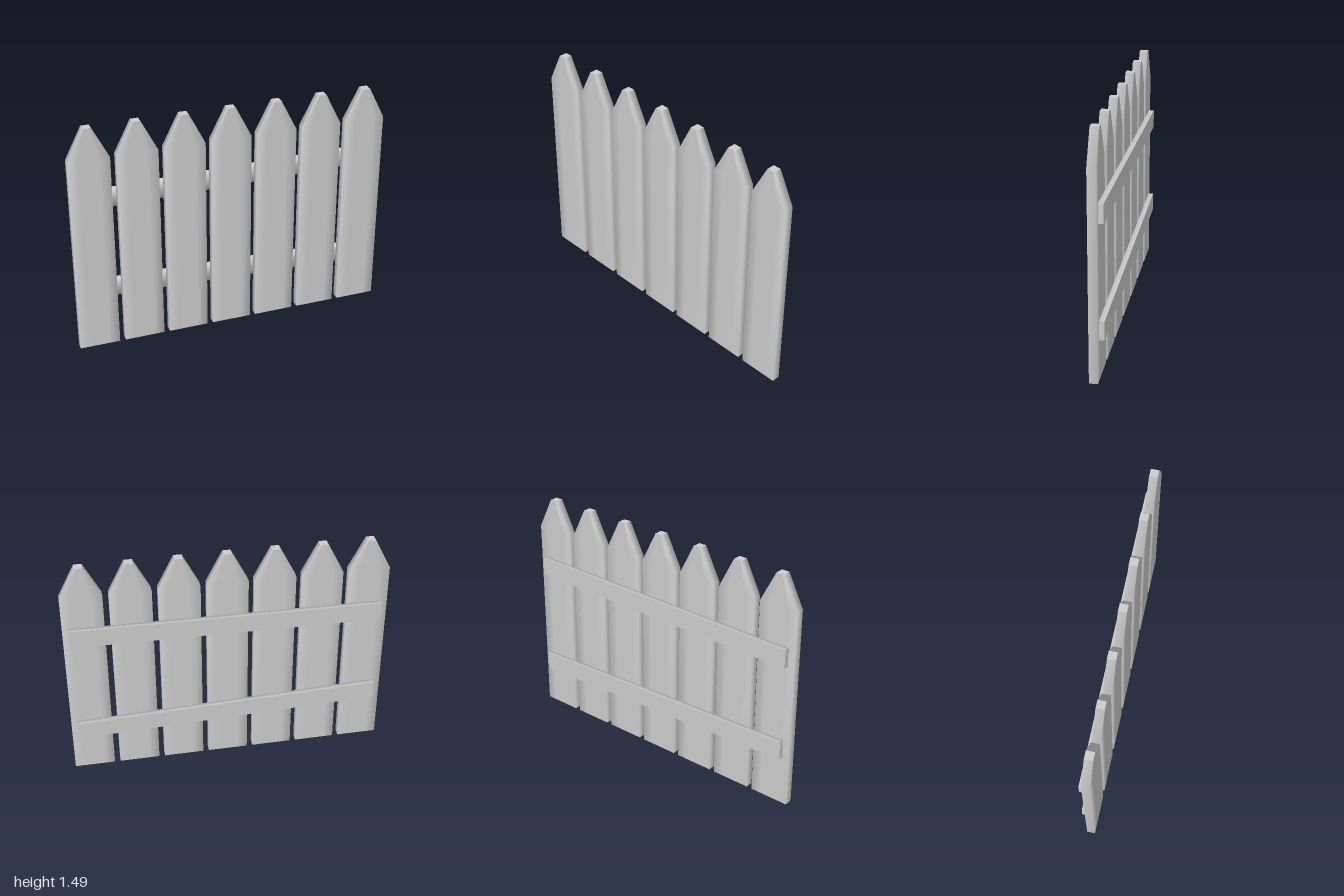
import * as THREE from 'three';

const material = new THREE.MeshStandardMaterial({ color: 0xcccccc });

const WIDTH = 0.254, HEIGHT = 1.485, SHOULDER = 1.285, TIP = 0.025;
const BACK = -0.01, FRONT = 0.042;

// Board with a tapered top; normals blend around its long edges
function picketGeometry() {
  const half = WIDTH / 2;
  const geo = new THREE.BoxGeometry(2, 2, 2, 3, 2, 1);
  const pos = geo.attributes.position, nor = geo.attributes.normal;
  const slope = new THREE.Vector2(HEIGHT - SHOULDER, half - TIP).normalize();
  for (let i = 0; i < pos.count; i++) {
    const column = pos.getX(i), row = Math.round(pos.getY(i)), side = Math.sign(pos.getZ(i));
    const edge = Math.abs(column) > 0.9;
    const reach = Math.sign(column) * (edge ? 1 : 0.5);
    pos.setXYZ(
      i,
      reach * (row === 1 ? TIP : half),
      row === -1 ? 0 : row === 0 ? SHOULDER : HEIGHT,
      side > 0 ? FRONT : BACK
    );
    // the end grain at the foot and tip stays flat
    if (Math.abs(nor.getY(i)) > 0.5) continue;
    const n = new THREE.Vector3(0, 0, side);
    if (edge) {
      const lift = [0, slope.y / 2, slope.y][row + 1];
      n.x = Math.sign(column) * Math.sqrt(1 - lift * lift);
      n.y = lift;
    }
    n.normalize();
    nor.setXYZ(i, n.x, n.y, n.z);
  }
  return geo;
}

// Cross rail: flat back and ends, front edges softened by shared normals
function railGeometry(length) {
  const geo = new THREE.BoxGeometry(length, 0.118, 0.032);
  const pos = geo.attributes.position, nor = geo.attributes.normal;
  for (let i = 0; i < pos.count; i++) {
    if (Math.abs(nor.getX(i)) > 0.5 || nor.getZ(i) < -0.5 || pos.getZ(i) < 0) continue;
    nor.setXYZ(i, 0, Math.sign(pos.getY(i)) * Math.SQRT1_2, Math.SQRT1_2);
  }
  return geo;
}

export function createModel() {
  const fence = new THREE.Group();
  fence.name = 'picketFence';

  // Seven evenly spaced pickets
  const geo = picketGeometry();
  const spacing = (2 - WIDTH) / 6;
  for (let i = 0; i < 7; i++) {
    const picket = new THREE.Mesh(geo, material);
    picket.name = `picket${i + 1}`;
    picket.position.x = (i - 3) * spacing;
    fence.add(picket);
  }

  // Two slightly crooked rails across the back
  const rails = [
    { name: 'upperRail', y: 1.003, tilt: 0.0137 },
    { name: 'lowerRail', y: 0.346, tilt: -0.034 },
  ];
  for (const { name, y, tilt } of rails) {
    const rail = new THREE.Mesh(railGeometry(1.914), material);
    rail.name = name;
    rail.position.set(0, y, BACK - 0.016);
    rail.rotation.z = tilt;
    fence.add(rail);
  }
  return fence;
}
